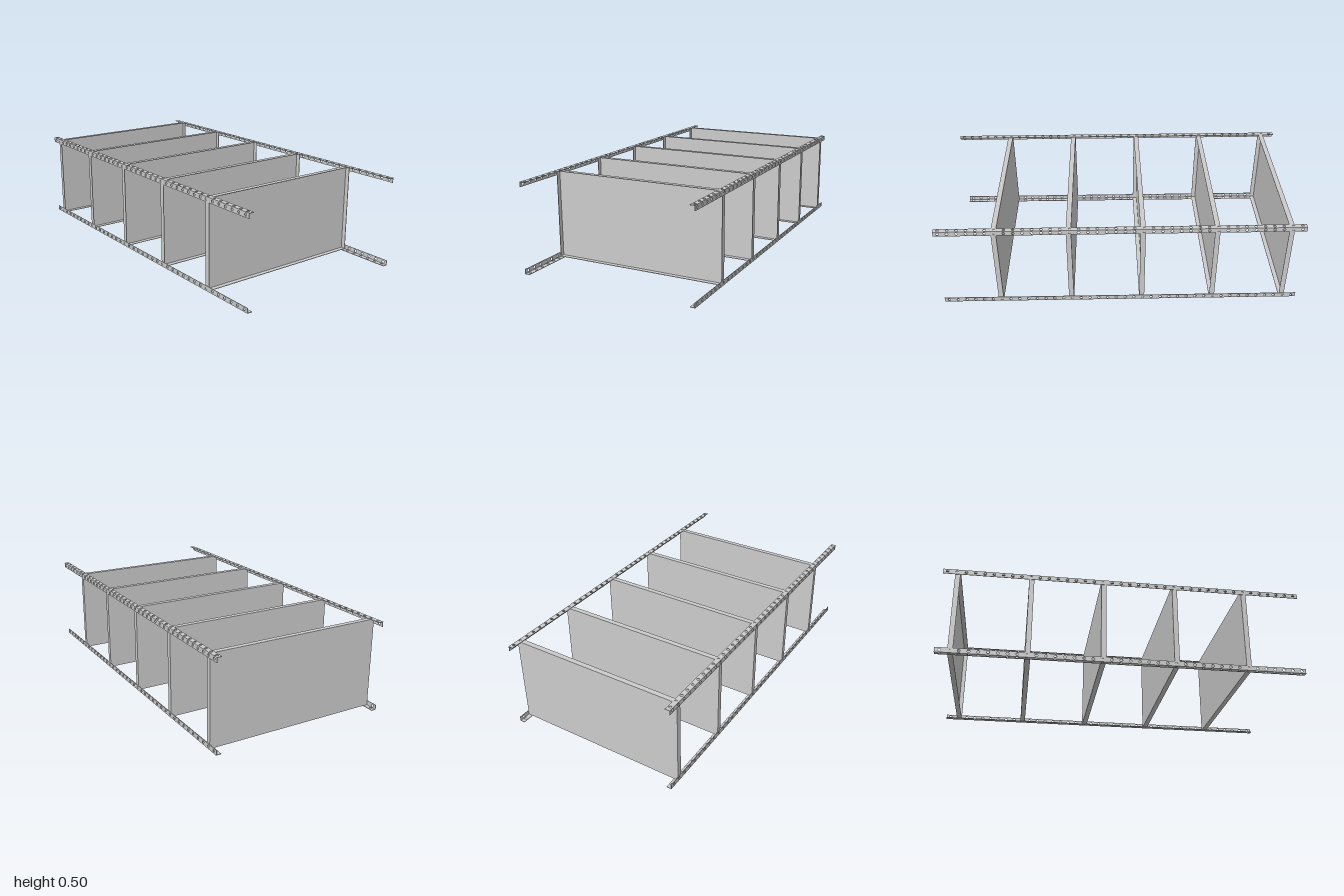
import * as THREE from 'three';

const W = 1, H = 0.5, L = 2;         // overall width, height, length
const FLANGE = 0.028, T = 0.003;     // angle-post leg width and sheet thickness
const PITCH = 0.05, HOLE = 0.0075;   // bolt hole spacing and radius
const SHELF_DEPTH = 0.028;

function rect(Cls, x0, y0, x1, y1) {
  const s = new Cls();
  s.moveTo(x0, y0);
  s.lineTo(x1, y0);
  s.lineTo(x1, y1);
  s.lineTo(x0, y1);
  s.closePath();
  return s;
}

const extrude = (shape, depth) =>
  new THREE.ExtrudeGeometry(shape, { depth, bevelEnabled: false, curveSegments: 10 });

// Perforated strip lying flat: across x from "start" to FLANGE, running along z
function stripGeometry(start) {
  const shape = rect(THREE.Shape, start, -L / 2, FLANGE, L / 2);
  for (let v = -L / 2 + PITCH / 2; v < L / 2; v += PITCH) {
    const hole = new THREE.Path();
    hole.absarc(FLANGE / 2, v, HOLE, 0, Math.PI * 2, true);
    shape.holes.push(hole);
  }
  return extrude(shape, T).rotateX(-Math.PI / 2);
}

export function createModel() {
  const model = new THREE.Group();
  model.name = 'shelvingUnit';
  const steel = new THREE.MeshStandardMaterial({ color: 0xcccccc });

  const add = (parent, geometry, name) => {
    const mesh = new THREE.Mesh(geometry, steel);
    mesh.name = name;
    parent.add(mesh);
    return mesh;
  };

  // Four L-section posts, each a quarter turn on from the last
  const flat = stripGeometry(0);
  const upright = stripGeometry(T).rotateZ(Math.PI / 2).translate(T, 0, 0);
  const corners = [[-W / 2, 0], [W / 2, 0], [W / 2, H], [-W / 2, H]];
  corners.forEach(([x, y], i) => {
    const post = new THREE.Group();
    post.name = `anglePost${i + 1}`;
    add(post, flat, 'postFlange');
    add(post, upright, 'postFlange');
    post.position.set(x, y, 0);
    post.rotation.z = i * Math.PI / 2;
    model.add(post);
  });

  // Five tray shelves: a flat panel with a folded rim facing +z
  const hx = W / 2 - T;
  const rimShape = rect(THREE.Shape, -hx, T, hx, H - T);
  rimShape.holes.push(rect(THREE.Path, -hx + T, 2 * T, hx - T, H - 2 * T));
  const rim = extrude(rimShape, SHELF_DEPTH - T).translate(0, 0, T);
  const panel = new THREE.BoxGeometry(2 * hx, H - 2 * T, T).translate(0, H / 2, T / 2);
  for (let i = 0; i < 5; i++) {
    const shelf = new THREE.Group();
    shelf.name = `shelf${i + 1}`;
    add(shelf, panel, 'shelfPanel');
    add(shelf, rim, 'shelfRim');
    shelf.position.z = 0.68 - 0.4 * i - SHELF_DEPTH / 2;
    model.add(shelf);
  }

  return model;
}
